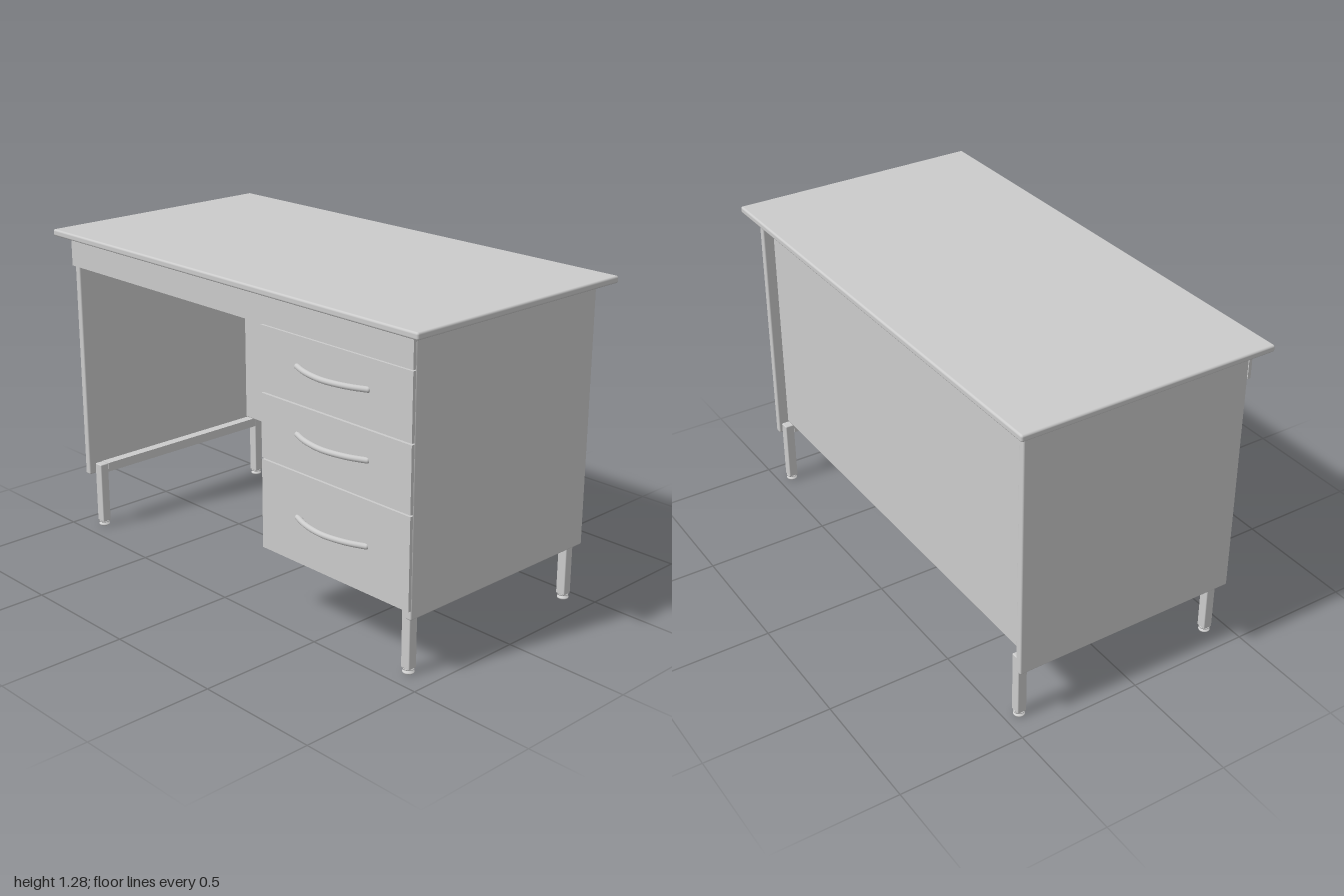
import * as THREE from 'three';
import { RoundedBoxGeometry } from 'three/addons/geometries/RoundedBoxGeometry.js';

const material = new THREE.MeshStandardMaterial({ color: 0xcccccc });

export function createModel() {
  const desk = new THREE.Group();
  desk.name = 'desk';

  const add = (name, geometry, parent = desk) => {
    const mesh = new THREE.Mesh(geometry, material);
    mesh.name = name;
    parent.add(mesh);
    return mesh;
  };

  // Board given by its extents; a radius rounds the edges.
  const board = (name, [x0, x1], [y0, y1], [z0, z1], radius = 0, parent = desk) => {
    const size = [x1 - x0, y1 - y0, z1 - z0];
    const geometry = radius
      ? new RoundedBoxGeometry(...size, 3, radius)
      : new THREE.BoxGeometry(...size);
    const mesh = add(name, geometry, parent);
    mesh.position.set((x0 + x1) / 2, (y0 + y1) / 2, (z0 + z1) / 2);
    return mesh;
  };

  // Top, sides, back and front fascia
  board('desktop', [-1, 1], [1.251, 1.278], [-0.521, 0.521], 0.008);
  board('rightSidePanel', [-0.941, -0.912], [0.232, 1.251], [-0.472, 0.463], 0.006);
  board('leftSidePanel', [0.912, 0.941], [0.232, 1.251], [-0.472, 0.463], 0.006);
  board('backPanel', [-0.912, 0.912], [0.28, 1.251], [-0.43, -0.403], 0.005);
  board('fascia', [-0.941, 0.941], [1.132, 1.245], [0.463, 0.476]);

  // Drawer pedestal
  board('pedestalSide', [0.2, 0.227], [0.28, 1.251], [-0.403, 0.463]);
  board('pedestalBottom', [0.227, 0.912], [0.28, 0.306], [-0.403, 0.463]);

  // Bowed handle, closed by round ends
  const bow = new THREE.CatmullRomCurve3(
    [[-0.174, 0.474], [-0.12, 0.496], [-0.06, 0.511], [0, 0.517], [0.06, 0.511], [0.12, 0.496], [0.174, 0.474]]
      .map(([x, z]) => new THREE.Vector3(x, 0, z)));
  const handleGeometry = new THREE.TubeGeometry(bow, 32, 0.011, 12);
  const handleEnd = new THREE.SphereGeometry(0.011, 12, 8);

  // Drawers: bottom, top and handle height
  [[0.88, 1.128, 1.016], [0.626, 0.874, 0.764], [0.27, 0.62, 0.447]].forEach(([y0, y1, handleY], i) => {
    const drawer = new THREE.Group();
    drawer.name = `drawer${i + 1}`;
    desk.add(drawer);
    board('drawerFront', [0.199, 0.941], [y0, y1], [0.463, 0.476], 0, drawer);
    const handle = new THREE.Group();
    handle.name = 'handle';
    handle.position.set(0.562, handleY, 0);
    drawer.add(handle);
    add('handleBow', handleGeometry, handle);
    for (const s of [-1, 1]) add('handleEnd', handleEnd, handle).position.set(s * 0.174, 0, 0.474);
  });

  // Levelling foot: narrow stem on a flared disc
  const footGeometry = new THREE.LatheGeometry(
    [[0, 0], [0.018, 0], [0.022, 0.003], [0.022, 0.007], [0.012, 0.011], [0.012, 0.015], [0.021, 0.016], [0.021, 0.021], [0, 0.021]]
      .map(([r, y]) => new THREE.Vector2(r, y)), 20);

  // Leg frames: two legs joined by a rail
  for (const side of [-1, 1]) {
    const frame = new THREE.Group();
    frame.name = side < 0 ? 'rightLegFrame' : 'leftLegFrame';
    frame.position.x = side * 0.891;
    desk.add(frame);
    board('rail', [-0.02, 0.02], [0.24, 0.278], [-0.422, 0.397], 0, frame);
    for (const z of [0.416, -0.441]) {
      board(z > 0 ? 'frontLeg' : 'backLeg', [-0.02, 0.02], [0.02, 0.278], [z - 0.019, z + 0.019], 0.004, frame);
      add('foot', footGeometry, frame).position.z = z;
    }
  }
  return desk;
}
